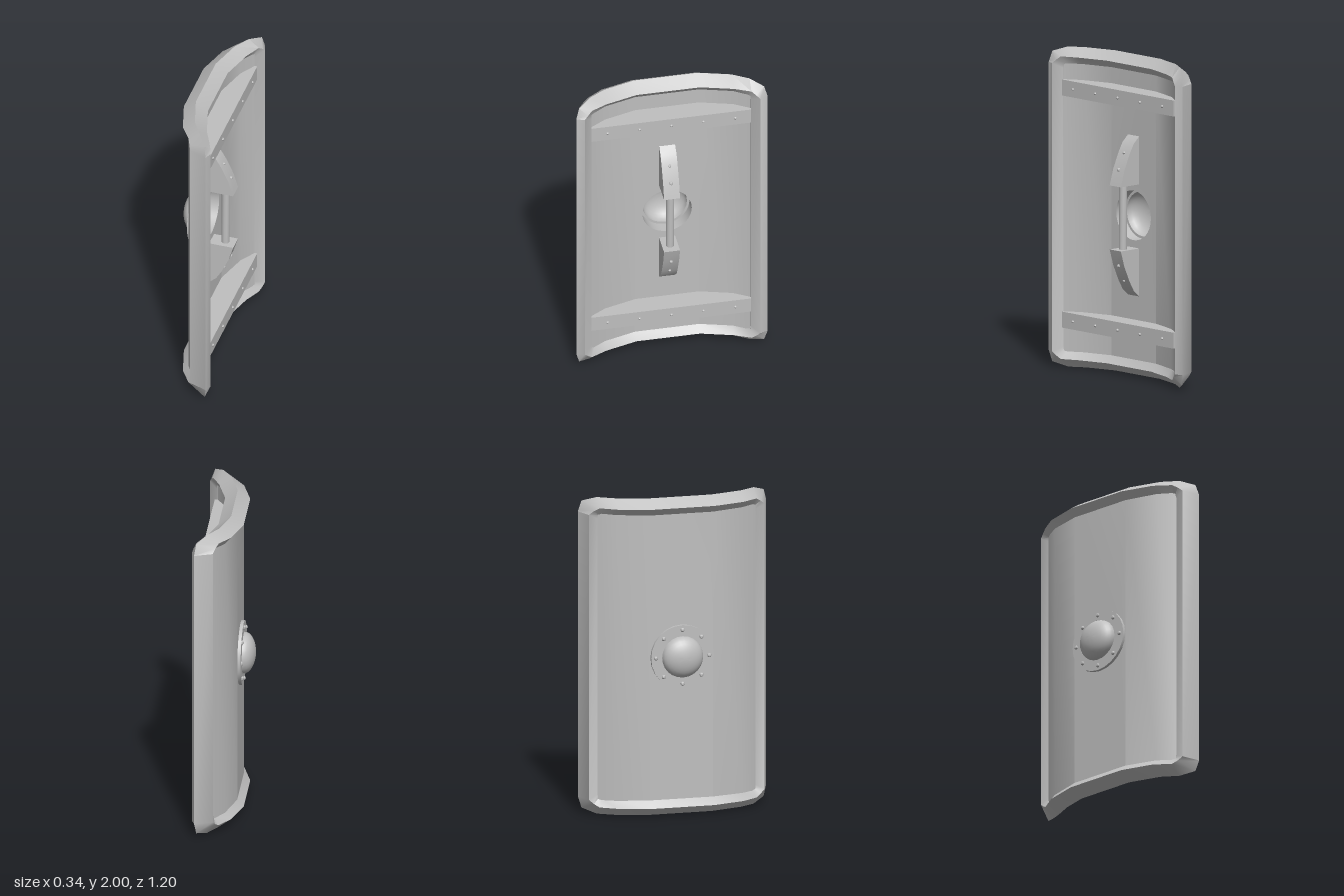
import * as THREE from 'three';
import { toCreasedNormals, mergeGeometries } from 'three/addons/utils/BufferGeometryUtils.js';

const metal = new THREE.MeshStandardMaterial({ color: 0xbfbfbf });
metal.name = 'grey metal';
const MID = 1; // height of the centre

function add(parent, name, geometry, crease = 0.65) {
  const mesh = new THREE.Mesh(toCreasedNormals(geometry, crease), metal);
  mesh.name = name;
  parent.add(mesh);
  return mesh;
}

// Upright prism from an outline of [x, z] points
function prismY(points, y0, y1) {
  const shape = new THREE.Shape(points.map(([x, z]) => new THREE.Vector2(x, -z)));
  return new THREE.ExtrudeGeometry(shape, { depth: y1 - y0, bevelEnabled: false })
    .rotateX(-Math.PI / 2).translate(0, y0, 0);
}

function rivet(parent, x, y, z, r) {
  add(parent, 'rivet', new THREE.SphereGeometry(r, 10, 8), 1).position.set(x, y, z);
}

// Curved board: flat centre strip with a round hole, and two bent wings
function board() {
  const h = 0.91;
  const strip = new THREE.Shape([[-0.2, -h], [0.2, -h], [0.2, h], [-0.2, h]].map(p => new THREE.Vector2(...p)));
  strip.holes.push(new THREE.Path().absarc(0, 0, 0.155, 0, Math.PI * 2, true));
  const centre = new THREE.ExtrudeGeometry(strip, { depth: 0.075, bevelEnabled: false, curveSegments: 20 })
    .rotateY(Math.PI / 2).translate(-0.075, MID, 0);
  const wings = [1, -1].map(s => prismY(
    [[-0.075, 0.2], [-0.02, 0.4], [0.05, 0.51], [0.125, 0.51], [0.0575, 0.4], [0, 0.2]].map(([x, z]) => [x, s * z]),
    MID - h, MID + h));
  return mergeGeometries([centre, ...wings]);
}

// Raised rim: five-sided section swept round the bent outline
function rim() {
  // Points are [x, height from centre, z]: front, outer, back, inner back, inner front
  const straight = (z, x) => [
    [x - 0.0775, 0.945, z], [x, 1, z], [x + 0.0775, 0.945, z], [x + 0.0375, 0.9, z], [x - 0.0375, 0.9, z]];
  const quarter = [
    straight(0.2, -0.0375),
    straight(0.4, 0.02),
    [[0.01, 0.945, 0.5], [0.082, 1, 0.5], [0.145, 0.945, 0.5], [0.11, 0.9, 0.48], [0.035, 0.9, 0.48]],
    [[0.027, 0.925, 0.532], [0.14, 0.97, 0.58], [0.16, 0.922, 0.527], [0.12, 0.895, 0.497], [0.045, 0.895, 0.497]],
    [[0.04, 0.9, 0.56], [0.152, 0.9, 0.6], [0.17, 0.9, 0.55], [0.122, 0.87, 0.5], [0.047, 0.87, 0.5]],
  ];
  const flip = (sy, sz) => quarter.map(sec => sec.map(([x, y, z]) => [x, MID + sy * y, sz * z]));
  const loop = [...flip(1, 1), ...flip(-1, 1).reverse(), ...flip(-1, -1), ...flip(1, -1).reverse()];
  const index = [];
  for (let s = 0; s < loop.length; s++) {
    const a = s * 5, b = ((s + 1) % loop.length) * 5;
    for (let i = 0; i < 5; i++) {
      const j = (i + 1) % 5;
      index.push(a + i, b + i, a + j, b + i, b + j, a + j);
    }
  }
  const g = new THREE.BufferGeometry();
  g.setAttribute('position', new THREE.Float32BufferAttribute(loop.flat(2), 3));
  g.setIndex(index);
  return g;
}

// Hollow domed boss with a flat flange
function boss() {
  const profile = [[0.14, 0], [0.2, 0], [0.2, 0.02], [0.13, 0.02]];
  const N = 8;
  for (let i = 1; i <= N; i++) {
    const a = (i / N) * Math.PI / 2;
    profile.push([i === N ? 0 : 0.13 * Math.cos(a), 0.02 + 0.075 * Math.sin(a)]);
  }
  for (let i = N; i >= 0; i--) {
    const a = (i / N) * Math.PI / 2;
    profile.push([i === N ? 0 : 0.14 * Math.cos(a), 0.085 * Math.sin(a)]);
  }
  return new THREE.LatheGeometry(profile.map(p => new THREE.Vector2(...p)), 24).rotateZ(Math.PI / 2);
}

export function createModel() {
  const model = new THREE.Group();
  model.name = 'shield';
  add(model, 'board', board());
  add(model, 'rim', rim());

  // Boss on the outer face, ringed with rivets
  const bossGroup = new THREE.Group();
  bossGroup.name = 'boss';
  bossGroup.position.set(-0.075, MID, 0);
  add(bossGroup, 'dome', boss());
  for (let k = 0; k < 8; k++) {
    const a = k * Math.PI / 4;
    rivet(bossGroup, -0.02, 0.17 * Math.cos(a), 0.17 * Math.sin(a), 0.013);
  }
  model.add(bossGroup);

  // Flat-backed braces across the inside
  for (const y of [0.3, 1.75]) {
    const brace = [[0.135, -0.5], [0.135, 0.5], [0.115, 0.5], [0.05, 0.4], [-0.01, 0.2],
      [-0.01, -0.2], [0.05, -0.4], [0.115, -0.5]];
    add(model, 'brace', prismY(brace, y - 0.05, y + 0.05));
    for (let i = -2; i <= 2; i++) rivet(model, 0.135, y, i * 0.2, 0.009);
  }

  // Grip bar between two tapered brackets
  for (const s of [1, -1]) {
    const outline = [[-0.005, 0.2], [0.155, 0.2], [0.125, 0.3], [0.08, 0.4], [0.045, 0.46], [0, 0.5], [-0.005, 0.5]];
    const shape = new THREE.Shape(outline.map(([x, y]) => new THREE.Vector2(x, MID + s * y)));
    add(model, 'gripBracket',
      new THREE.ExtrudeGeometry(shape, { depth: 0.1, bevelEnabled: false }).translate(0, 0, -0.05));
    rivet(model, 0.125, MID + s * 0.3, 0, 0.012);
    rivet(model, 0.08, MID + s * 0.4, 0, 0.009);
  }
  add(model, 'gripBar', new THREE.CylinderGeometry(0.025, 0.025, 0.42, 12)).position.set(0.09, MID, 0);

  return model;
}
